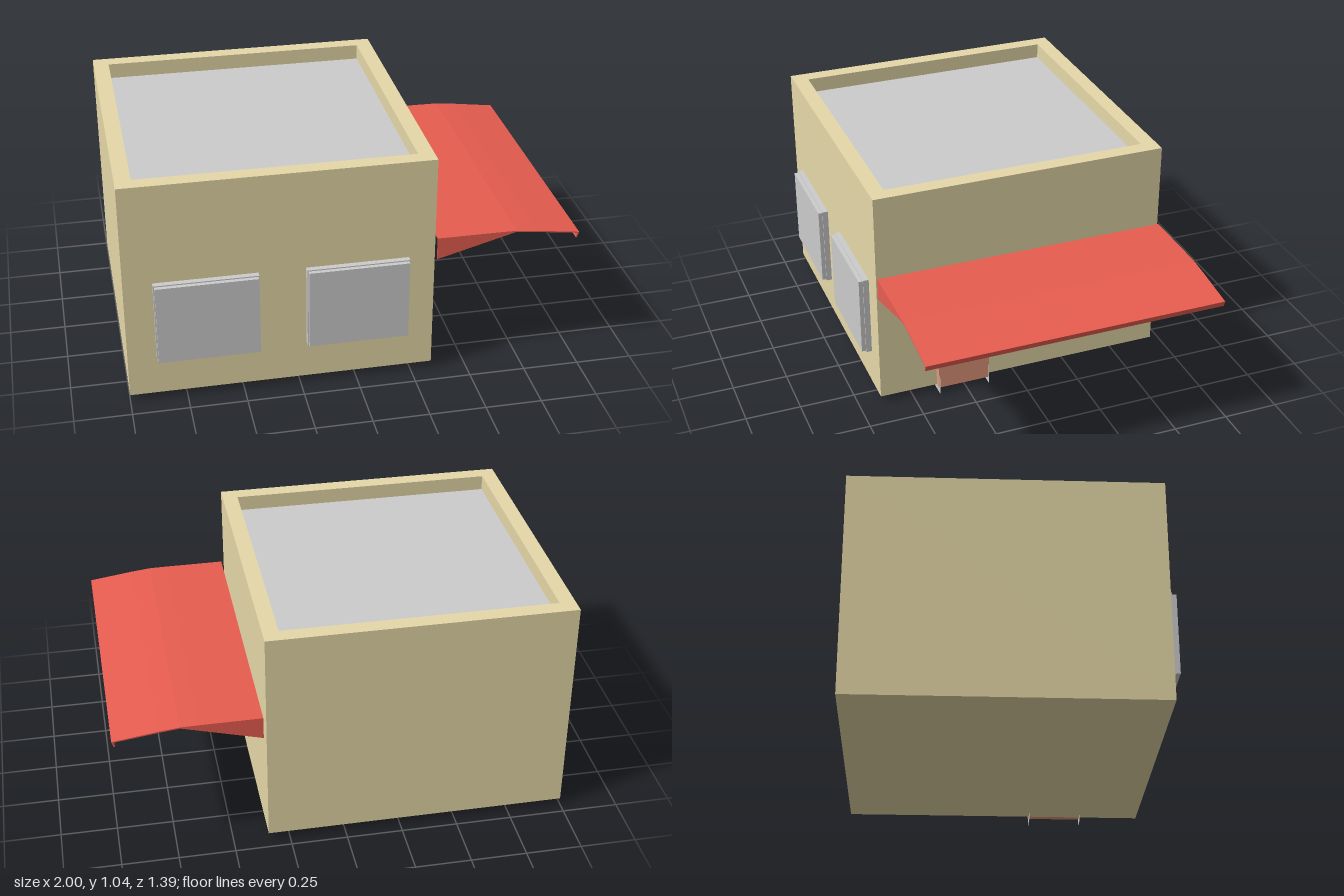
import * as THREE from 'three';

const paint = (color) => new THREE.MeshStandardMaterial({ color, flatShading: true, side: THREE.DoubleSide });
const wallPaint = paint(0xe6d8a8), redPaint = paint(0xe85d50), doorPaint = paint(0xe4977b), grey = paint(0xcccccc);

function part(name, geometry, material) {
  const mesh = new THREE.Mesh(geometry, material);
  mesh.name = name;
  return mesh;
}

// Box given by its lower and upper corners
function block(name, [x0, y0, z0], [x1, y1, z1], material) {
  const g = new THREE.BoxGeometry(x1 - x0, y1 - y0, z1 - z0);
  g.translate((x0 + x1) / 2, (y0 + y1) / 2, (z0 + z1) / 2);
  return part(name, g, material);
}

// Outline in x and y, extruded from z0 to z1
function prism(name, points, z0, z1, material) {
  const shape = new THREE.Shape(points.map(([x, y]) => new THREE.Vector2(x, y)));
  const g = new THREE.ExtrudeGeometry(shape, { depth: z1 - z0, bevelEnabled: false });
  return part(name, g.translate(0, 0, z0), material);
}

export function createModel() {
  const model = new THREE.Group();
  model.name = 'shop';

  // Square walls with underside, parapet rim and its inner faces, as a four-sided lathe
  const outer = 0.6725 * Math.SQRT2, inner = 0.6025 * Math.SQRT2;
  const profile = [[0, 0.03], [outer, 0.03], [outer, 1.04], [inner, 1.04], [inner, 0.97]];
  const walls = new THREE.LatheGeometry(profile.map(([r, y]) => new THREE.Vector2(r, y)), 4, Math.PI / 4);
  walls.translate(-0.3275, 0, -0.0225);
  model.add(part('walls', walls, wallPaint));

  // Flat roof sunk behind the parapet
  const roof = new THREE.PlaneGeometry(1.205, 1.205).rotateX(-Math.PI / 2).translate(-0.3275, 0.97, -0.0225);
  model.add(part('roof', roof, grey));

  // Two front windows: a frame and a slightly smaller panel
  for (const x of [-0.875, -0.22]) {
    const win = new THREE.Group();
    win.name = 'window';
    win.add(block('windowFrame', [x, 0.205, 0.65], [x + 0.45, 0.582, 0.676], grey));
    win.add(block('windowPanel', [x + 0.005, 0.21, 0.676], [x + 0.445, 0.577, 0.695], grey));
    model.add(win);
  }

  // Side door with a thin foot plate at each edge
  model.add(block('door', [0.345, 0.03, 0.14], [0.375, 0.537, 0.383], doorPaint));
  for (const z of [0.143, 0.38]) {
    const plate = new THREE.PlaneGeometry(0.095, 0.1).translate(0.3375, 0.05, z);
    model.add(part('footPlate', plate, grey));
  }

  // Awning: thin bent sheet with a lip along the outer edge
  const awning = new THREE.Group();
  awning.name = 'awning';
  awning.add(prism('awningSheet', [
    [0.357, 0.658], [0.63, 0.658], [0.71, 0.657], [0.8, 0.647], [0.997, 0.62],
    [0.988, 0.593], [0.983, 0.595], [0.988, 0.616], [0.8, 0.641], [0.71, 0.651], [0.357, 0.653],
  ], -0.695, 0.648, redPaint));
  // Triangular cheeks at both ends
  for (const z of [-0.695, 0.642]) {
    awning.add(prism('awningCheek', [[0.357, 0.655], [0.357, 0.555], [0.71, 0.652]], z, z + 0.006, redPaint));
  }
  model.add(awning);

  return model;
}
